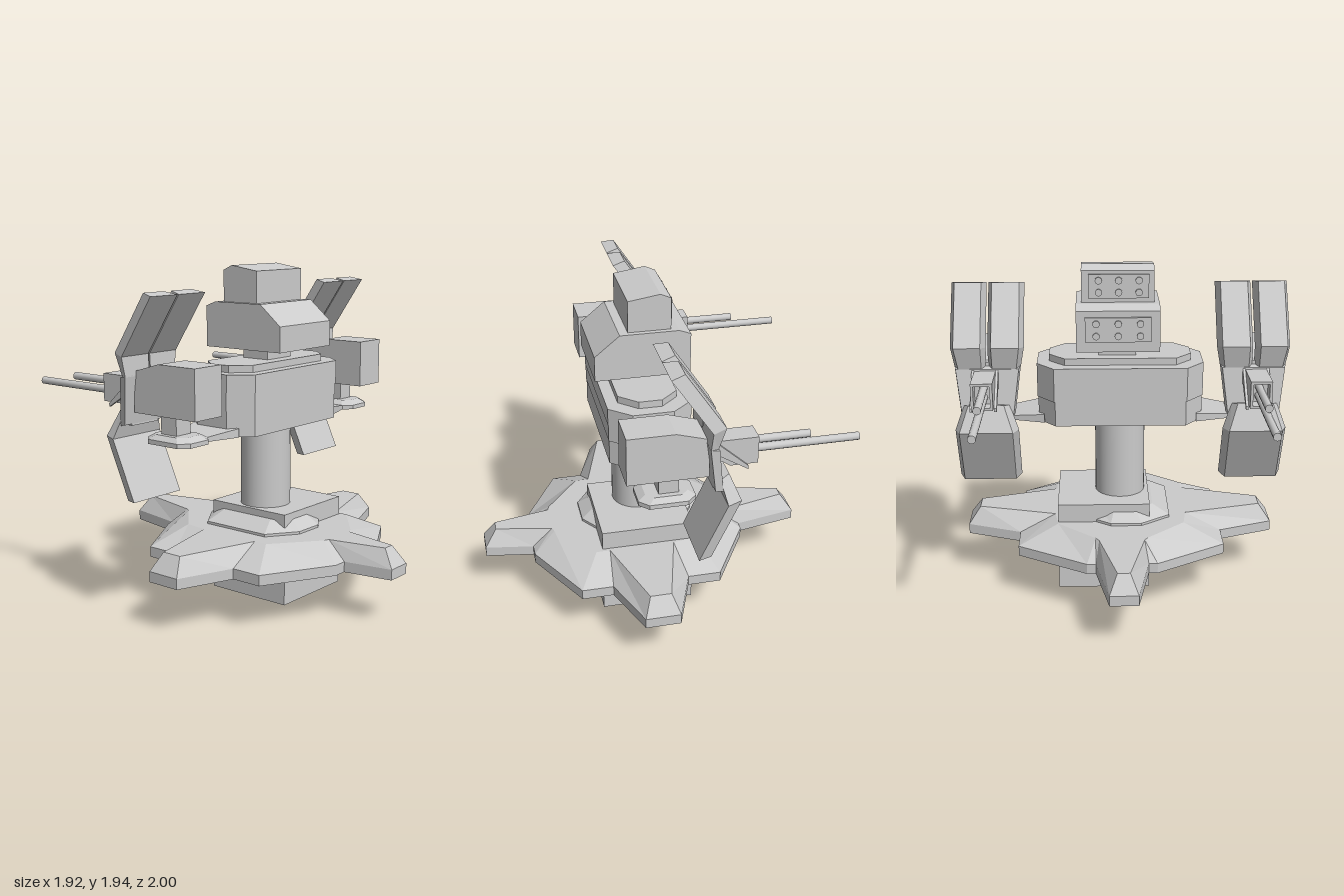
import * as THREE from 'three';

const flat = new THREE.MeshStandardMaterial({ color: 0xcccccc, flatShading: true });
const smooth = new THREE.MeshStandardMaterial({ color: 0xcccccc });

function add(parent, name, geometry, material = flat) {
  const mesh = new THREE.Mesh(geometry, material);
  mesh.name = name;
  parent.add(mesh);
  return mesh;
}

// box given by its limits
function box(x0, x1, y0, y1, z0, z1) {
  return new THREE.BoxGeometry(Math.abs(x1 - x0), y1 - y0, z1 - z0)
    .translate((x0 + x1) / 2, (y0 + y1) / 2, (z0 + z1) / 2);
}

// side profile of [z, y] points, extruded across x
function prism(profile, xa, xb) {
  const shape = new THREE.Shape(profile.map(([z, y]) => new THREE.Vector2(z, y)));
  const g = new THREE.ExtrudeGeometry(shape, { depth: Math.abs(xb - xa), bevelEnabled: false });
  return g.rotateY(-Math.PI / 2).translate(Math.max(xa, xb), 0, 0);
}

// solid skinned over rings of [x, y, z] points, ordered from low to high
function loft(rings) {
  const flatten = (r) => r.map(([x, , z]) => new THREE.Vector2(x, z));
  if (THREE.ShapeUtils.isClockWise(flatten(rings[0]))) rings = rings.map((r) => [...r].reverse());
  const n = rings[0].length, last = (rings.length - 1) * n, index = [];
  for (let k = 0; k < rings.length - 1; k++) {
    for (let i = 0; i < n; i++) {
      const a = k * n + i, b = k * n + (i + 1) % n;
      index.push(a, a + n, b + n, a, b + n, b);
    }
  }
  for (const [a, b, c] of THREE.ShapeUtils.triangulateShape(flatten(rings[0]), [])) index.push(a, b, c);
  for (const [a, b, c] of THREE.ShapeUtils.triangulateShape(flatten(rings[rings.length - 1]), [])) {
    index.push(last + c, last + b, last + a);
  }
  const g = new THREE.BufferGeometry();
  g.setAttribute('position', new THREE.Float32BufferAttribute(rings.flat(2), 3));
  g.setIndex(index);
  const out = g.toNonIndexed();
  out.computeVertexNormals();
  return out;
}

const level = (outline, y) => outline.map(([x, z]) => [x, y, z]);
const mirrored = (half) => [...half, ...half.map(([x, z]) => [-x, z]).reverse()];

// rectangle with cut corners, as [x, z]
function cutRect(x0, x1, z0, z1, cx, cz) {
  return [[x0 + cx, z0], [x1 - cx, z0], [x1, z0 + cz], [x1, z1 - cz],
    [x1 - cx, z1], [x0 + cx, z1], [x0, z1 - cz], [x0, z0 + cz]];
}

// armour plate: sections of [inner z, inner y, outer z, outer y, x0, x1], outer face narrower
function plate(sections, s, bevel = 0.025) {
  return loft(sections.map(([zi, yi, zo, yo, x0, x1]) => [
    [s * x0, yi, zi], [s * x1, yi, zi], [s * (x1 - bevel), yo, zo], [s * (x0 + bevel), yo, zo]]));
}

function base(model) {
  const g = new THREE.Group();
  g.name = 'base';
  model.add(g);
  // star shaped foot with sloping rim
  const outer = mirrored([[0.075, 1], [0.12, 0.72], [0.2, 0.72], [0.6, 0.5], [0.6, 0.32], [0.92, 0.2],
    [0.92, 0], [0.6, -0.12], [0.6, -0.31], [0.2, -0.55], [0.15, -0.55], [0.08, -0.92]]);
  const inner = mirrored([[0.035, 0.93], [0.1, 0.6], [0.13, 0.59], [0.39, 0.38], [0.39, 0.3], [0.85, 0.16],
    [0.85, 0.04], [0.39, -0.08], [0.37, -0.22], [0.15, -0.42], [0.13, -0.45], [0.035, -0.85]]);
  add(g, 'starFoot', loft([level(outer, 0.27), level(outer, 0.33), level(inner, 0.43)]));
  add(g, 'baseBlock', box(-0.17, 0.37, 0, 0.54, -0.2, 0.34));
  add(g, 'baseCollar', loft([
    level(cutRect(-0.29, 0.23, -0.26, 0.41, 0.17, 0.12), 0.425),
    level(cutRect(-0.29, 0.23, -0.26, 0.41, 0.17, 0.12), 0.445),
    level(cutRect(-0.19, 0.14, -0.19, 0.34, 0.1, 0.09), 0.5)]));
  add(g, 'pillar', new THREE.CylinderGeometry(0.147, 0.147, 0.49, 32).translate(0, 0.775, 0.065), smooth);
}

function torso(model) {
  const g = new THREE.Group();
  g.name = 'torso';
  model.add(g);
  const layers = [[1.02, 1.165, 0.475], [1.165, 1.265, 0.48], [1.265, 1.365, 0.48]];
  layers.forEach(([y0, y1, w], i) => {
    const o = cutRect(-w, w, -0.165 - 0.003 * i, 0.29 + 0.003 * i, 0.1, 0.12);
    add(g, 'torsoLayer', loft([level(o, y0), level(o, y1)]));
  });
  const top = cutRect(-0.41, 0.41, -0.1, 0.23, 0.09, 0.1);
  add(g, 'torsoTop', loft([level(top, 1.36), level(top, 1.405)]));
}

// raised panel with two rows of studs on the rear of the head
function studPanel(parent, x0, x1, y0, y1, z) {
  add(parent, 'rearPanel', box(x0, x1, y0, y1, z - 0.012, z + 0.01));
  for (let i = 0; i < 3; i++) {
    for (let j = 0; j < 2; j++) {
      const stud = new THREE.CylinderGeometry(0.02, 0.02, 0.014, 12).rotateX(Math.PI / 2);
      stud.translate(x0 + (x1 - x0) * (i + 0.5) / 3, y0 + (y1 - y0) * (j + 0.5) / 2, z - 0.016);
      add(parent, 'stud', stud, smooth);
    }
  }
}

function head(model) {
  const g = new THREE.Group();
  g.name = 'head';
  model.add(g);
  add(g, 'neck', box(-0.09, 0.125, 1.4, 1.48, -0.03, 0.15));
  add(g, 'lowerHead', prism([[0.34, 1.47], [0.34, 1.615], [0.2, 1.73], [-0.13, 1.73],
    [-0.195, 1.705], [-0.195, 1.47]], -0.22, 0.25));
  add(g, 'upperHead', prism([[0.15, 1.72], [0.15, 1.91], [-0.03, 1.937], [-0.09, 1.91],
    [-0.09, 1.72]], -0.19, 0.22));
  studPanel(g, -0.17, 0.2, 1.53, 1.67, -0.195);
  studPanel(g, -0.16, 0.18, 1.755, 1.89, -0.09);
}

function weaponArm(model, s) {
  const g = new THREE.Group();
  g.name = s > 0 ? 'leftArm' : 'rightArm';
  model.add(g);
  // bracket from the torso, mounting foot and pod
  add(g, 'armBracket', loft([
    level([[s * 0.44, -0.1], [s * 0.68, -0.03], [s * 0.68, 0.16], [s * 0.44, 0.23]], 1.02),
    [[s * 0.44, 1.07, -0.1], [s * 0.68, 1.04, -0.03], [s * 0.68, 1.04, 0.16], [s * 0.44, 1.07, 0.23]]]));
  const footRim = cutRect(0.63, 0.87, -0.09, 0.22, 0.05, 0.05).map(([x, z]) => [s * x, z]);
  const footTop = cutRect(0.67, 0.84, -0.05, 0.18, 0.04, 0.04).map(([x, z]) => [s * x, z]);
  add(g, 'podFoot', loft([level(footRim, 1.02), level(footRim, 1.045), level(footTop, 1.07)]));
  add(g, 'podNeck', box(s * 0.7, s * 0.81, 1.06, 1.18, 0, 0.11));
  add(g, 'pod', prism([[0.29, 1.175], [0.29, 1.45], [0.03, 1.45], [-0.14, 1.4], [-0.15, 1.175]], s * 0.65, s * 0.86));

  // armour: two tall upper plates, a waist and a kinked lower plate
  for (const [a, b, c, d] of [[0.545, 0.75, 0.565, 0.75], [0.76, 0.96, 0.76, 0.94]]) {
    add(g, 'upperShield', plate([
      [-0.13, 1.375, -0.175, 1.365, c, d],
      [-0.135, 1.485, -0.21, 1.5, a, b],
      [0.085, 1.81, 0.01, 1.825, a, b]], s));
  }
  add(g, 'shieldWaist', plate([
    [-0.17, 1.11, -0.215, 1.1, 0.6, 0.91],
    [-0.13, 1.38, -0.18, 1.37, 0.565, 0.94]], s, 0.01));
  add(g, 'lowerShield', plate([
    [-0.085, 0.7, -0.16, 0.695, 0.58, 0.94],
    [-0.235, 1.03, -0.315, 1.035, 0.58, 0.94],
    [-0.2, 1.165, -0.255, 1.18, 0.63, 0.89]], s, 0.03));
  add(g, 'shieldJoint', box(s * 0.66, s * 0.86, 1.1, 1.17, -0.22, -0.17));

  // gun housing: wedge and hollow muzzle sleeve
  add(g, 'gunWedge', prism([[-0.17, 1.27], [-0.17, 1.36], [-0.34, 1.36], [-0.34, 1.205], [-0.27, 1.205]],
    s * 0.705, s * 0.825));
  const sleeve = new THREE.Shape([[0.705, 1.205], [0.825, 1.205], [0.825, 1.36], [0.705, 1.36]]
    .map(([x, y]) => new THREE.Vector2(x, y)));
  sleeve.holes.push(new THREE.Path([[0.72, 1.22], [0.72, 1.345], [0.81, 1.345], [0.81, 1.22]]
    .map(([x, y]) => new THREE.Vector2(x, y))));
  const sleeveMesh = add(g, 'muzzleSleeve', new THREE.ExtrudeGeometry(sleeve, { depth: 0.08, bevelEnabled: false }));
  sleeveMesh.position.set(s > 0 ? 0 : -1.53, 0, -0.42);
  // braces running down to the lower plate
  for (const x of [0.69, 0.825]) {
    add(g, 'gunBrace', prism([[-0.17, 1.375], [-0.365, 1.2], [-0.365, 1.18], [-0.17, 1.3]], s * x, s * (x + 0.015)));
  }
  for (const [y, end] of [[1.31, -0.72], [1.258, -1]]) {
    const len = -0.32 - end;
    add(g, 'barrel', new THREE.CylinderGeometry(0.022, 0.022, len, 12).rotateX(Math.PI / 2)
      .translate(s * 0.76, y, end + len / 2), smooth);
  }
}

export function createModel() {
  const model = new THREE.Group();
  model.name = 'gunTurret';
  base(model);
  torso(model);
  head(model);
  for (const s of [1, -1]) weaponArm(model, s);
  return model;
}
